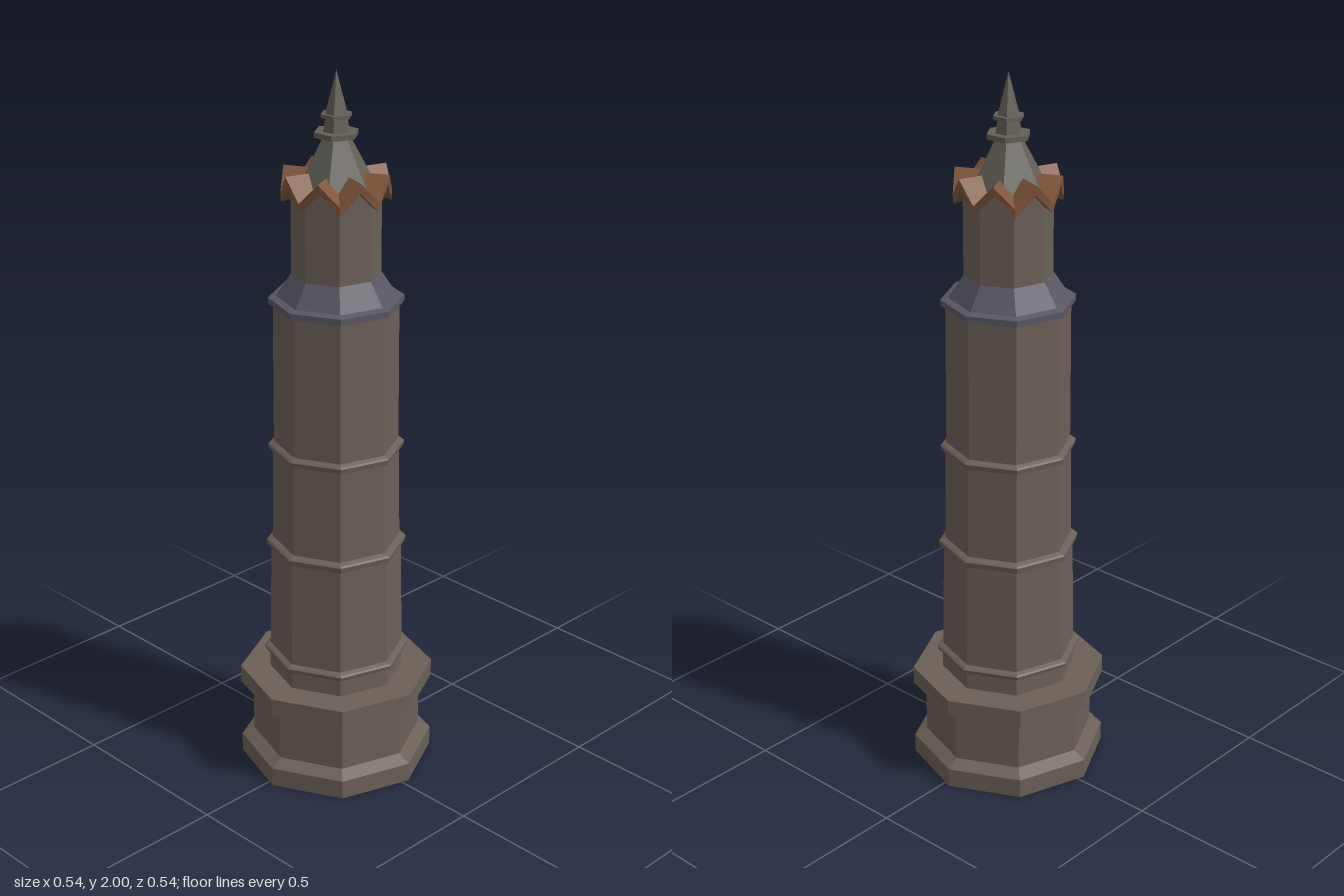
import * as THREE from 'three';

const TILT = 0.073; // small turn of the whole plan about the vertical axis

const stone = new THREE.MeshStandardMaterial({ name: 'brown stone', color: 0x6b6058 });
const slate = new THREE.MeshStandardMaterial({ name: 'blue slate', color: 0x5a5763 });
const tile = new THREE.MeshStandardMaterial({ name: 'orange tile', color: 0x80563d });
const spireStone = new THREE.MeshStandardMaterial({ name: 'grey spire stone', color: 0x646058 });

// faceted solid of revolution from [radius, y] pairs, listed bottom to top
function faceted(name, material, sides, profile, phiStart = TILT) {
  const points = profile.map(([r, y]) => new THREE.Vector2(r, y));
  const geometry = new THREE.LatheGeometry(points, sides, phiStart).toNonIndexed();
  geometry.computeVertexNormals();
  const mesh = new THREE.Mesh(geometry, material);
  mesh.name = name;
  return mesh;
}

// octagonal rings folded into eight gables: even points are valleys on the
// corners, odd points are peaks at the face centres. Each ring is
// [valleyRadius, valleyY, peakRadius, peakY].
function folded(name, material, rings) {
  const at = ([vr, vy, pr, py], i) => {
    const a = TILT + (i * Math.PI) / 8;
    const r = i % 2 ? pr : vr;
    return [r * Math.sin(a), i % 2 ? py : vy, r * Math.cos(a)];
  };
  const positions = [];
  for (let k = 0; k < rings.length - 1; k++) {
    for (let i = 0; i < 16; i++) {
      const a = at(rings[k], i), b = at(rings[k], i + 1);
      const c = at(rings[k + 1], i + 1), d = at(rings[k + 1], i);
      positions.push(...a, ...b, ...c, ...a, ...c, ...d);
    }
  }
  const geometry = new THREE.BufferGeometry();
  geometry.setAttribute('position', new THREE.Float32BufferAttribute(positions, 3));
  geometry.computeVertexNormals();
  const mesh = new THREE.Mesh(geometry, material);
  mesh.name = name;
  return mesh;
}

export function createModel() {
  const tower = new THREE.Group();
  tower.name = 'tower';

  // stepped plinth
  tower.add(faceted('plinth', stone, 8, [
    [0, 0], [0.272, 0], [0.272, 0.055], [0.237, 0.075],
    [0.237, 0.23], [0.272, 0.23], [0.272, 0.28], [0, 0.28],
  ]));

  // three slightly tapering shaft stages
  const stages = [
    ['lowerShaft', 0.188, 0.28, 0.18, 0.68],
    ['middleShaft', 0.176, 0.68, 0.172, 0.97],
    ['upperShaft', 0.17, 0.97, 0.168, 1.38],
  ];
  for (const [name, r0, y0, r1, y1] of stages) {
    tower.add(faceted(name, stone, 8, [[r0, y0], [r1, y1]]));
  }

  // string courses: outer radius, bottom, top, wall radius
  const bands = [
    ['baseBand', 0.203, 0.335, 0.35, 0.184],
    ['lowerBand', 0.194, 0.665, 0.685, 0.175],
    ['upperBand', 0.186, 0.957, 0.975, 0.169],
  ];
  for (const [name, r, y0, y1, wall] of bands) {
    tower.add(faceted(name, stone, 8, [
      [wall - 0.005, y0 - 0.006], [r - 0.003, y0], [r, y1 - 0.004], [r - 0.005, y1], [wall - 0.005, y1 + 0.008],
    ]));
  }

  // sloping collar under the belfry
  tower.add(faceted('collar', slate, 8, [
    [0.16, 1.372], [0.181, 1.376], [0.181, 1.393], [0.16, 1.398], [0.119, 1.46], [0.1, 1.46],
  ]));

  // belfry walls rising into gables
  const flat = Math.cos(Math.PI / 8);
  tower.add(folded('belfry', stone, [
    [0.119, 1.44, 0.119 * flat, 1.44],
    [0.119, 1.672, 0.119 * flat, 1.725],
  ]));

  // folded gable roof with a thick eave
  tower.add(folded('gableRoof', tile, [
    [0.08, 1.675, 0.08, 1.712],
    [0.143, 1.655, 0.141, 1.712],
    [0.145, 1.68, 0.145, 1.738],
    [0, 1.738, 0, 1.738],
  ]));

  // six-sided spire, finial discs and point
  tower.add(faceted('spire', spireStone, 6, [[0.112, 1.685], [0.036, 1.828]], TILT + Math.PI / 6));
  tower.add(faceted('spireDisc', spireStone, 6, [
    [0.03, 1.825], [0.06, 1.828], [0.06, 1.842], [0.036, 1.842],
  ], TILT + Math.PI / 6));
  tower.add(faceted('finial', spireStone, 6, [
    [0.036, 1.84], [0.03, 1.876], [0.042, 1.878], [0.042, 1.888], [0.03, 1.888], [0, 2],
  ], TILT + Math.PI / 6));

  return tower;
}
